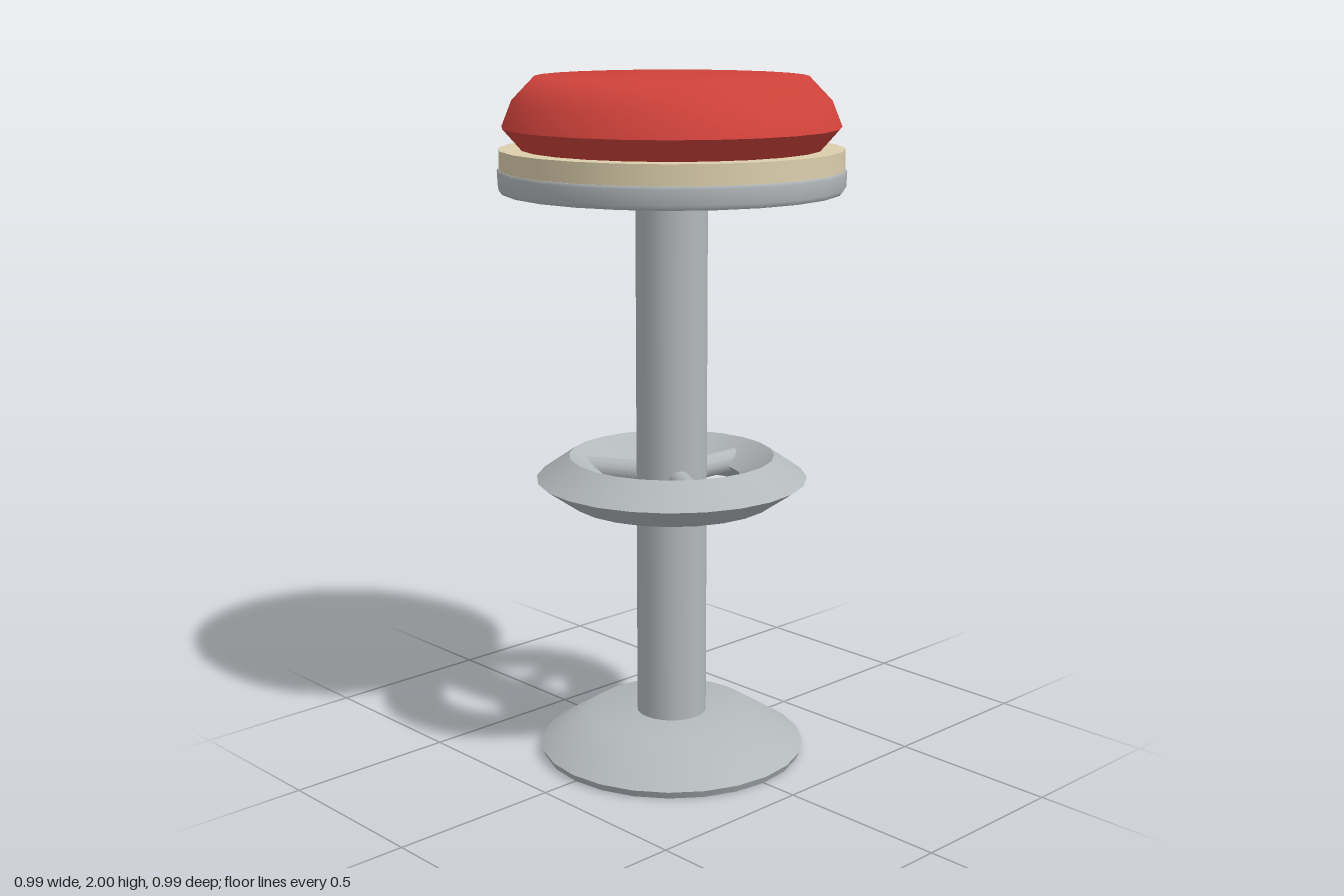
import * as THREE from 'three';
import { mergeGeometries } from 'three/addons/utils/BufferGeometryUtils.js';

const SIDES = 24;

// Turned part: each strip is a smooth profile [radius, y] going up the outside;
// edges between strips stay sharp.
function turned(name, material, strips) {
  const parts = strips.map(strip =>
    new THREE.LatheGeometry(strip.map(([r, y]) => new THREE.Vector2(r, y)), SIDES));
  const mesh = new THREE.Mesh(mergeGeometries(parts), material);
  mesh.name = name;
  return mesh;
}

export function createModel() {
  const metal = new THREE.MeshStandardMaterial({ color: 0xb3b8bb });
  metal.name = 'grey metal';
  const red = new THREE.MeshStandardMaterial({ color: 0xd0423b });
  red.name = 'red upholstery';
  const cream = new THREE.MeshStandardMaterial({ color: 0xdccfad });
  cream.name = 'cream trim';

  const stool = new THREE.Group();
  stool.name = 'barStool';

  // Foot plate with a sloped top
  stool.add(turned('base', metal, [
    [[0, 0], [0.385, 0]],
    [[0.385, 0], [0.395, 0.022]],
    [[0.395, 0.022], [0.245, 0.12], [0, 0.12]],
  ]));

  // Central post
  stool.add(turned('post', metal, [[[0.103, 0.1], [0.103, 1.69]]]));

  // Foot ring with a diamond section
  stool.add(turned('footRing', metal, [
    [[0.3, 0.777], [0.396, 0.844]],
    [[0.396, 0.844], [0.3, 0.911]],
    [[0.3, 0.911], [0.204, 0.844]],
    [[0.204, 0.844], [0.3, 0.777]],
  ]));

  // Three spokes joining the ring to the post, one straight back
  const spokes = new THREE.Group();
  spokes.name = 'spokes';
  const spokeGeometry = new THREE.CylinderGeometry(0.035, 0.035, 0.22, 12);
  spokeGeometry.rotateX(Math.PI / 2).translate(0, 0.85, -0.18);
  for (let i = 0; i < 3; i++) {
    const spoke = new THREE.Mesh(spokeGeometry, metal);
    spoke.name = 'spoke';
    spoke.rotation.y = i * Math.PI * 2 / 3;
    spokes.add(spoke);
  }
  stool.add(spokes);

  // Seat pan, trim band and cushion
  stool.add(turned('seatPan', metal, [
    [[0, 1.68], [0.483, 1.68]],
    [[0.483, 1.68], [0.493, 1.693], [0.495, 1.735], [0.491, 1.743]],
    [[0.491, 1.743], [0.4, 1.743]],
  ]));
  stool.add(turned('trimBand', cream, [
    [[0.489, 1.742], [0.489, 1.8]],
    [[0.489, 1.8], [0, 1.8]],
  ]));
  stool.add(turned('cushion', red, [
    [[0.425, 1.799], [0.479, 1.86]],
    [[0.479, 1.86], [0.45, 1.932], [0.384, 2], [0, 2]],
  ]));

  return stool;
}
